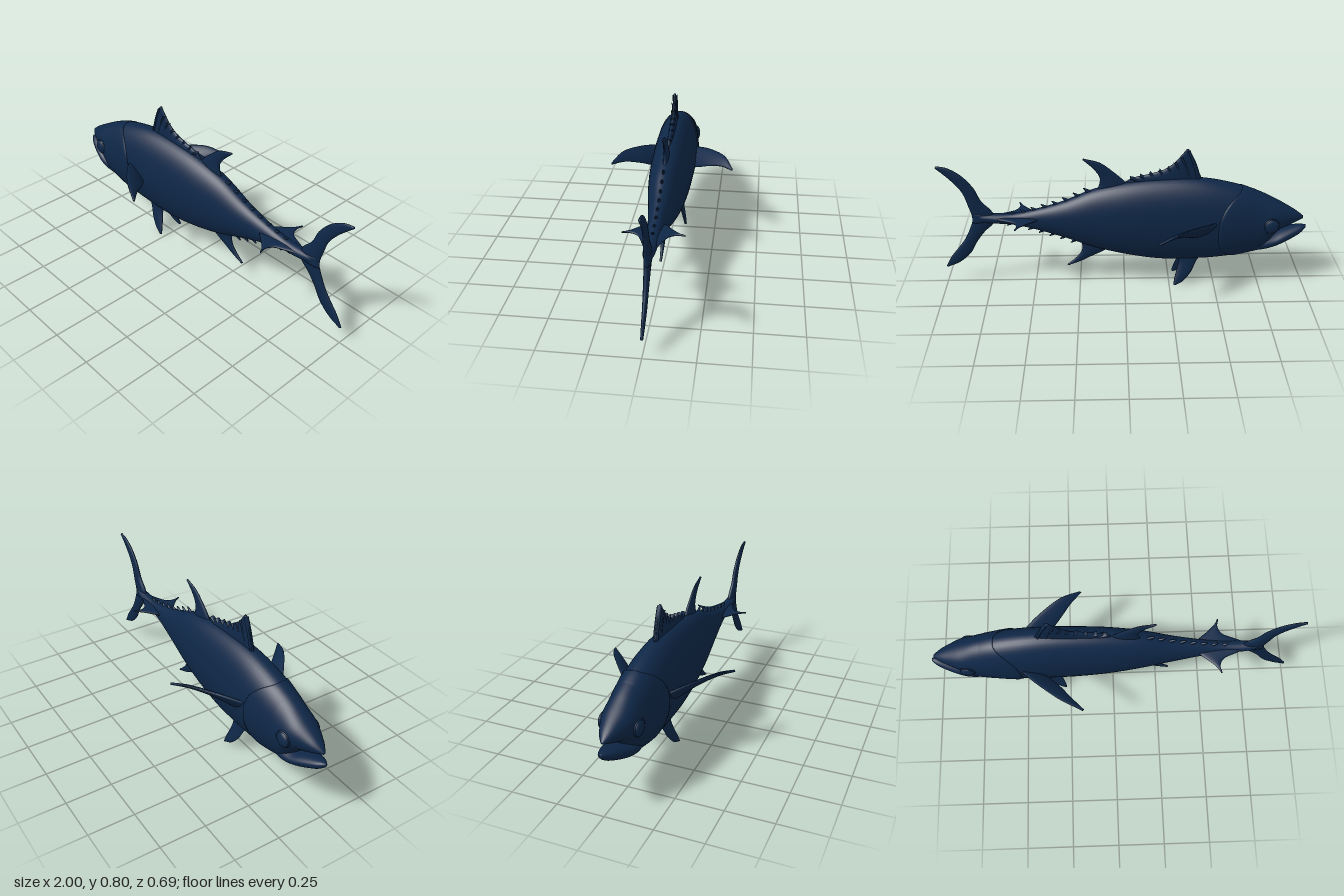
import * as THREE from 'three';

const V = (x, y, z = 0) => new THREE.Vector3(x, y, z);
const navy = new THREE.MeshStandardMaterial({ color: 0x0e2747 });
navy.name = 'deep navy';

// Closed smooth skin through equal-length rings of points, capped at both ends
function loft(rings) {
  const n = rings[0].length, pts = rings.flat(), idx = [];
  for (let i = 0; i < rings.length - 1; i++)
    for (let j = 0; j < n; j++) {
      const a = i * n + j, b = i * n + (j + 1) % n;
      idx.push(a, b, a + n, b, b + n, a + n);
    }
  for (const [start, flip] of [[0, true], [(rings.length - 1) * n, false]]) {
    const mid = V(0, 0);
    for (let j = 0; j < n; j++) mid.addScaledVector(pts[start + j], 1 / n);
    const c = pts.push(mid) - 1;
    for (let j = 0; j < n; j++) {
      const a = start + j, b = start + (j + 1) % n;
      idx.push(c, flip ? b : a, flip ? a : b);
    }
  }
  // turn the skin outward if its volume is negative
  let volume = 0;
  for (let k = 0; k < idx.length; k += 3)
    volume += pts[idx[k]].dot(pts[idx[k + 1]].clone().cross(pts[idx[k + 2]]));
  if (volume < 0) idx.reverse();
  const g = new THREE.BufferGeometry().setFromPoints(pts);
  g.setIndex(idx);
  g.computeVertexNormals();
  return g;
}

// Smooth profile table: rows of [x, top, bottom, halfWidth]
function profile(rows) {
  const f = new THREE.CubicInterpolant(
    new Float32Array(rows.map(r => r[0])), new Float32Array(rows.flatMap(r => r.slice(1))), 3);
  return x => [...f.evaluate(x)];
}

// Point on an oval section; a = 0 is the top
function skinPoint(shape, x, a, grow = 0) {
  const [top, bottom, w] = shape(x);
  return V(x, (top + bottom) / 2 + ((top - bottom) / 2 + grow) * Math.cos(a), (w + grow) * Math.sin(a));
}

function ovalBody(shape, x0, x1, steps, sides = 48) {
  return loft(Array.from({ length: steps + 1 }, (_, i) =>
    Array.from({ length: sides }, (_, j) =>
      skinPoint(shape, THREE.MathUtils.lerp(x0, x1, i / steps), j / sides * Math.PI * 2))));
}

// Fin with lens-shaped sections between a leading and a trailing curve
function foil(lead, trail, rootThick, tipThick, steps = 20) {
  const L = new THREE.CatmullRomCurve3(lead.map(p => V(...p)));
  const T = new THREE.CatmullRomCurve3(trail.map(p => V(...p)));
  const mid = t => L.getPoint(t).add(T.getPoint(t)).multiplyScalar(0.5);
  const rings = [];
  for (let i = 0; i <= steps; i++) {
    const t = i / steps, a = L.getPoint(t), chord = T.getPoint(t).sub(a);
    const span = mid(Math.min(1, t + 0.02)).sub(mid(Math.max(0, t - 0.02)));
    const across = span.cross(chord).normalize();
    const thick = THREE.MathUtils.lerp(rootThick, tipThick, t);
    rings.push(Array.from({ length: 16 }, (_, j) => {
      const q = j / 16 * Math.PI * 2;
      return a.clone().addScaledVector(chord, (1 - Math.cos(q)) / 2).addScaledVector(across, thick * Math.sin(q));
    }));
  }
  return loft(rings);
}

export function createModel() {
  const fish = new THREE.Group();
  fish.name = 'fish';
  const add = (name, geometry) => {
    const m = new THREE.Mesh(geometry, navy);
    m.name = name;
    fish.add(m);
    return m;
  };
  const mirrored = z => p => [p[0], p[1], p[2] * z];

  // Trunk with upper jaw
  const trunk = profile([
    [-0.98, 0.402, 0.388, 0.008], [-0.94, 0.433, 0.37, 0.036], [-0.89, 0.464, 0.347, 0.06],
    [-0.84, 0.493, 0.322, 0.082], [-0.80, 0.515, 0.27, 0.095], [-0.76, 0.537, 0.212, 0.102],
    [-0.685, 0.57, 0.184, 0.111], [-0.52, 0.618, 0.156, 0.119], [-0.39, 0.638, 0.147, 0.119],
    [-0.2, 0.638, 0.147, 0.115], [0, 0.615, 0.18, 0.105], [0.17, 0.573, 0.226, 0.086],
    [0.33, 0.505, 0.287, 0.063], [0.49, 0.457, 0.34, 0.042], [0.6, 0.435, 0.368, 0.032],
    [0.7, 0.432, 0.378, 0.031], [0.77, 0.435, 0.385, 0.024], [0.82, 0.425, 0.4, 0.008]]);
  add('body', ovalBody(trunk, -0.98, 0.82, 100));

  // Lower jaw
  const jaw = profile([
    [-1, 0.346, 0.328, 0.008], [-0.975, 0.346, 0.302, 0.028], [-0.925, 0.337, 0.272, 0.05],
    [-0.87, 0.322, 0.246, 0.068], [-0.82, 0.305, 0.228, 0.078], [-0.76, 0.3, 0.21, 0.08],
    [-0.66, 0.29, 0.19, 0.06]]);
  add('lowerJaw', ovalBody(jaw, -1, -0.66, 30));

  // Gill cover: a low swelling of the head that ends in a curved edge
  const edge = a => -0.5 - 0.13 * Math.pow(Math.abs(Math.cos(a - Math.sign(Math.sin(a)) * 0.12)), 2.5);
  const swell = [[0, -0.006], [0.2, 0.001], [0.7, 0.005], [0.92, 0.007], [0.98, 0.005], [1, -0.006]];
  add('gillCover', loft(swell.map(([u, grow]) => Array.from({ length: 64 }, (_, j) => {
    const a = j / 64 * Math.PI * 2;
    const fade = 0.15 + 0.85 * Math.abs(Math.sin(a));
    return skinPoint(trunk, THREE.MathUtils.lerp(-0.73, edge(a), u), a, grow > 0 ? grow * fade : grow);
  }))));

  // First dorsal fin with its spines
  add('firstDorsalFin', foil(
    [[-0.41, 0.58, 0], [-0.41, 0.64, 0], [-0.4, 0.665, 0], [-0.39, 0.695, 0], [-0.375, 0.735, 0], [-0.355, 0.775, 0], [-0.337, 0.805, 0]],
    [[0.03, 0.58, 0], [-0.03, 0.637, 0], [-0.12, 0.662, 0], [-0.21, 0.69, 0], [-0.27, 0.735, 0], [-0.302, 0.775, 0], [-0.325, 0.805, 0]],
    0.019, 0.006, 30));
  const spineTips = [[-0.335, 0.8], [-0.298, 0.765], [-0.265, 0.735], [-0.225, 0.706], [-0.18, 0.69], [-0.13, 0.674], [-0.08, 0.658], [-0.03, 0.642]];
  spineTips.forEach(([x, y], i) => {
    const path = new THREE.QuadraticBezierCurve3(
      V(-0.395 + i * 0.045, 0.62), V(x - 0.04 + i * 0.003, (y + 0.64) / 2), V(x, y));
    add('dorsalSpine', new THREE.TubeGeometry(path, 8, 0.008, 8)).scale.z = 1.8;
  });

  // Second dorsal and anal fins
  add('secondDorsalFin', foil(
    [[-0.03, 0.57, 0], [0.0, 0.622, 0], [0.06, 0.68, 0], [0.13, 0.733, 0], [0.215, 0.757, 0]],
    [[0.16, 0.55, 0], [0.135, 0.605, 0], [0.132, 0.645, 0], [0.16, 0.692, 0], [0.22, 0.75, 0]],
    0.018, 0.005));
  add('analFin', foil(
    [[0.05, 0.25, 0], [0.1, 0.202, 0], [0.18, 0.16, 0], [0.25, 0.124, 0], [0.312, 0.1, 0]],
    [[0.27, 0.29, 0], [0.235, 0.235, 0], [0.238, 0.195, 0], [0.268, 0.152, 0], [0.32, 0.104, 0]],
    0.018, 0.006));

  // Crescent tail, upper and lower lobes
  add('upperTailLobe', foil(
    [[0.7, 0.4, 0], [0.72, 0.452, 0], [0.77, 0.51, 0], [0.805, 0.59, 0], [0.865, 0.665, 0], [0.935, 0.71, 0], [0.99, 0.721, 0]],
    [[0.83, 0.38, 0], [0.828, 0.42, 0], [0.842, 0.475, 0], [0.867, 0.56, 0], [0.91, 0.622, 0], [0.955, 0.67, 0], [0.997, 0.71, 0]],
    0.02, 0.006, 30));
  add('lowerTailLobe', foil(
    [[0.7, 0.425, 0], [0.715, 0.375, 0], [0.765, 0.325, 0], [0.81, 0.265, 0], [0.857, 0.185, 0], [0.925, 0.126, 0], [0.985, 0.101, 0]],
    [[0.828, 0.44, 0], [0.826, 0.4, 0], [0.845, 0.345, 0], [0.88, 0.275, 0], [0.92, 0.222, 0], [0.965, 0.165, 0], [0.998, 0.105, 0]],
    0.02, 0.007, 30));

  // Finlets along the back and belly of the tail stalk
  const finlet = (name, x, y, up, size) => add(name, foil(
    [[x - size, y - up * 0.02, 0], [x - size * 0.5, y + up * 0.004, 0], [x + size * 0.5, y + up * size * 0.55, 0]],
    [[x + size * 0.5, y - up * 0.02, 0], [x + size * 0.4, y, 0], [x + size * 0.75, y + up * size * 0.5, 0]],
    0.011, 0.004, 8));
  for (let i = 0; i < 8; i++) {
    const x = 0.195 + i * 0.059, size = 0.036 - i * 0.002;
    finlet('upperFinlet', x, trunk(x)[0], 1, size);
    if (i > 0) finlet('lowerFinlet', x + 0.02, trunk(x + 0.02)[1], -1, size);
  }

  // Paired parts
  for (const s of [1, -1]) {
    const side = s > 0 ? 'right' : 'left', m = mirrored(s);
    add(side + 'PectoralFin', foil(
      [[-0.52, 0.41, 0.085], [-0.47, 0.43, 0.14], [-0.4, 0.449, 0.205], [-0.28, 0.46, 0.295], [-0.175, 0.434, 0.343]].map(m),
      [[-0.41, 0.335, 0.095], [-0.355, 0.348, 0.13], [-0.295, 0.385, 0.19], [-0.225, 0.42, 0.275], [-0.165, 0.425, 0.34]].map(m),
      0.018, 0.006));
    add(side + 'PelvicFin', foil(
      [[-0.43, 0.185, 0.03], [-0.4, 0.14, 0.037], [-0.372, 0.078, 0.052], [-0.325, 0.023, 0.067], [-0.285, 0.005, 0.074]].map(m),
      [[-0.29, 0.185, 0.028], [-0.3, 0.135, 0.037], [-0.288, 0.08, 0.052], [-0.277, 0.035, 0.067], [-0.274, 0.008, 0.075]].map(m),
      0.014, 0.007));
    add(side + 'TailKeel', foil(
      [[0.44, 0.412, 0.01], [0.475, 0.413, 0.05], [0.525, 0.415, 0.09], [0.565, 0.417, 0.13], [0.578, 0.418, 0.155]].map(m),
      [[0.76, 0.41, 0.01], [0.655, 0.412, 0.048], [0.598, 0.414, 0.075], [0.578, 0.416, 0.115], [0.586, 0.418, 0.155]].map(m),
      0.011, 0.004));
    const eye = add(side + 'Eye', new THREE.SphereGeometry(0.042, 24, 16));
    eye.scale.z = 0.42;
    eye.position.set(-0.79, 0.387, s * 0.094);
    const rim = add(side + 'EyeRim', new THREE.TorusGeometry(0.041, 0.005, 8, 32));
    rim.position.set(-0.79, 0.387, s * 0.093);
    rim.rotation.y = s * -0.15;
  }
  return fish;
}
